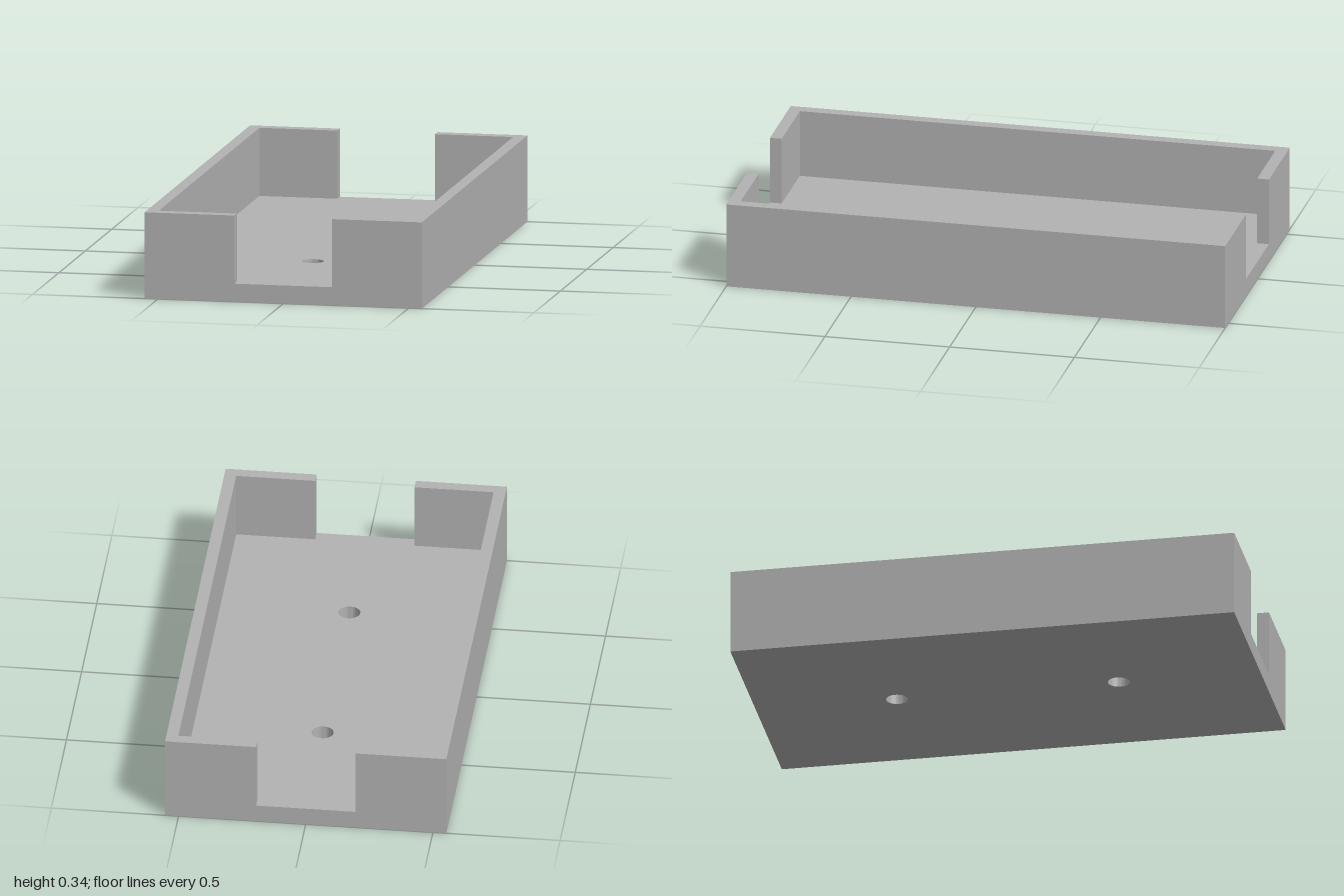
import * as THREE from 'three';
import { toCreasedNormals } from 'three/addons/utils/BufferGeometryUtils.js';

const HALF_W = 0.553, HALF_L = 1, HEIGHT = 0.342, FLOOR = 0.072;
const WALL = 0.047, NOTCH = 0.195, HOLE_R = 0.043, HOLE_Z = 0.44;

// Extrude a plan outline upwards from height y
function raise(shape, y, depth) {
  const geo = new THREE.ExtrudeGeometry(shape, { depth, bevelEnabled: false, curveSegments: 32 });
  geo.rotateX(-Math.PI / 2).translate(0, y, 0);
  return toCreasedNormals(geo, Math.PI / 6);
}

function outline(points) {
  return new THREE.Shape(points.map(([x, z]) => new THREE.Vector2(x, z)));
}

export function createModel() {
  const model = new THREE.Group();
  model.name = 'tray';
  const grey = new THREE.MeshStandardMaterial({ color: 0xb2b2b2 });
  grey.name = 'grey';

  function add(name, geometry) {
    const mesh = new THREE.Mesh(geometry, grey);
    mesh.name = name;
    model.add(mesh);
  }

  // Floor plate with two screw holes
  const floor = outline([[-HALF_W, -HALF_L], [HALF_W, -HALF_L], [HALF_W, HALF_L], [-HALF_W, HALF_L]]);
  for (const z of [-HOLE_Z, HOLE_Z]) {
    floor.holes.push(new THREE.Path().absarc(0, z, HOLE_R, 0, Math.PI * 2, true));
  }
  add('floor', raise(floor, 0, FLOOR));

  // C-shaped side walls, leaving an open notch at each end
  const inX = HALF_W - WALL, inZ = HALF_L - WALL;
  for (const [name, s] of [['leftWall', 1], ['rightWall', -1]]) {
    const wall = outline([
      [s * NOTCH, -HALF_L], [s * HALF_W, -HALF_L], [s * HALF_W, HALF_L], [s * NOTCH, HALF_L],
      [s * NOTCH, inZ], [s * inX, inZ], [s * inX, -inZ], [s * NOTCH, -inZ],
    ]);
    add(name, raise(wall, FLOOR, HEIGHT - FLOOR));
  }

  return model;
}
